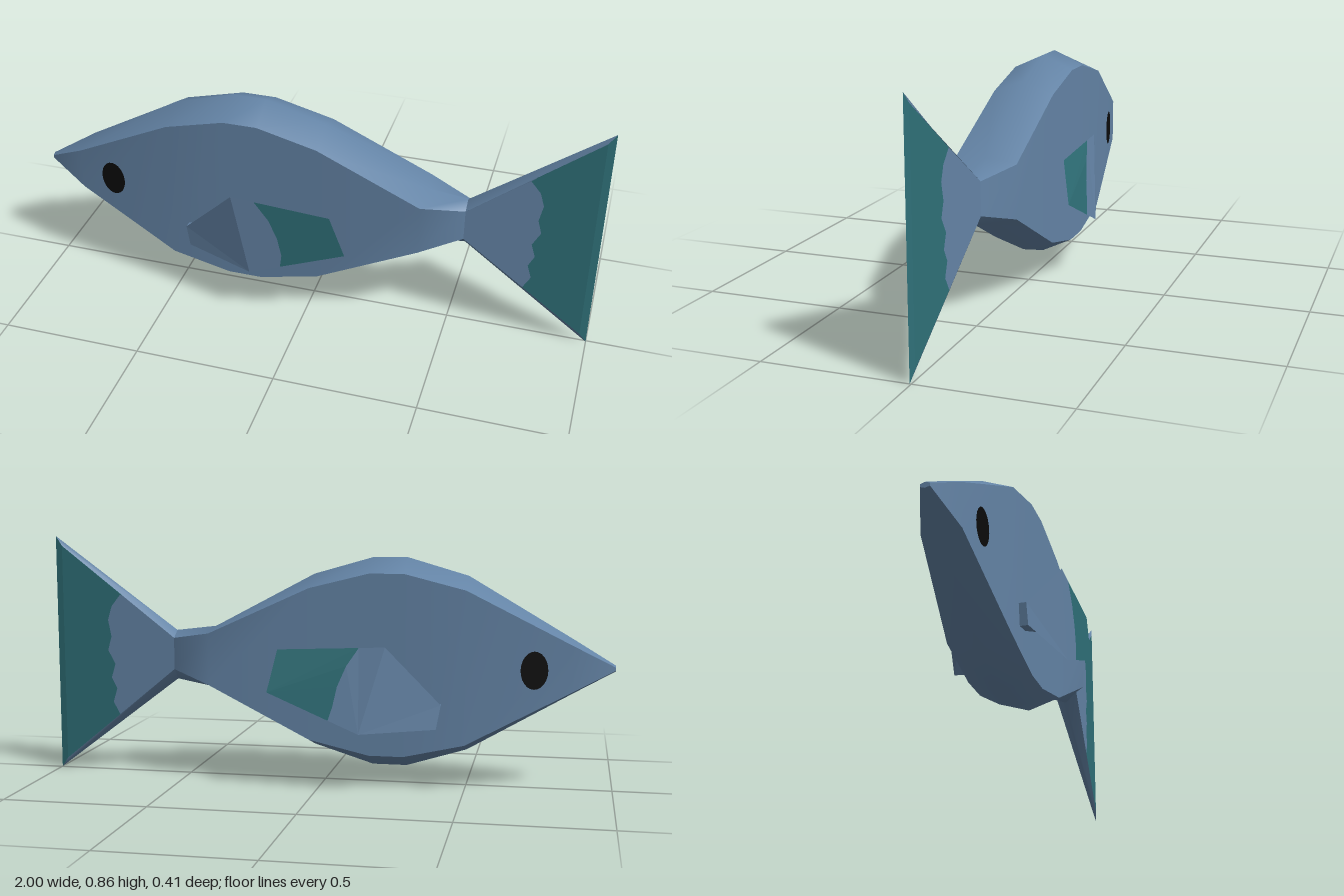
import * as THREE from 'three';

const blue = new THREE.MeshStandardMaterial({ name: 'slateBlue', color: 0x6484a6, side: THREE.DoubleSide });
const teal = new THREE.MeshStandardMaterial({ name: 'deepTeal', color: 0x2f7078, side: THREE.DoubleSide });
const black = new THREE.MeshStandardMaterial({ name: 'eyeBlack', color: 0x0b0b0b, side: THREE.DoubleSide });

const MID = 0.005; // z of the body's centre plane

function mesh(name, geometry, material) {
  const m = new THREE.Mesh(geometry, material);
  m.name = name;
  return m;
}

// Smooth strip of quads running along x; separate strips meet in sharp edges
function strip(rows) {
  const n = rows[0].length, index = [];
  for (let i = 0; i < rows.length - 1; i++) {
    for (let j = 0; j < n - 1; j++) {
      const a = i * n + j, b = a + n;
      index.push(a, b, b + 1, a, b + 1, a + 1);
    }
  }
  const g = new THREE.BufferGeometry();
  g.setAttribute('position', new THREE.Float32BufferAttribute(rows.flat(2), 3));
  g.setIndex(index);
  g.computeVertexNormals();
  return g;
}

// Flat-faced surface from a list of polygons
function facets(polygons) {
  const p = [];
  for (const poly of polygons) {
    for (let i = 1; i < poly.length - 1; i++) p.push(...poly[0], ...poly[i], ...poly[i + 1]);
  }
  const g = new THREE.BufferGeometry();
  g.setAttribute('position', new THREE.Float32BufferAttribute(p, 3));
  g.computeVertexNormals();
  return g;
}

// Six-sided ring: top ridge, upper edge, lower edge, bottom ridge, half width
const ring = ([x, ridge, upper, lower, keel, w]) => [
  [x, lower, MID + w], [x, upper, MID + w], [x, ridge, MID],
  [x, upper, MID - w], [x, lower, MID - w], [x, keel, MID],
];

// Flat outline bent to follow a slanted side
function sidePlate(outline, zAt, side) {
  const g = new THREE.ShapeGeometry(new THREE.Shape(outline.map(([x, y]) => new THREE.Vector2(x, y))));
  const p = g.attributes.position;
  for (let i = 0; i < p.count; i++) p.setZ(i, MID + side * zAt(p.getX(i)));
  g.computeVertexNormals();
  return g;
}

function makeBody() {
  const group = new THREE.Group();
  group.name = 'body';
  const rings = [
    [-1, 0.44, 0.435, 0.425, 0.42, 0.015],
    [-0.86, 0.525, 0.51, 0.355, 0.34, 0.065],
    [-0.5, 0.737, 0.695, 0.165, 0.13, 0.107],
    [-0.29, 0.798, 0.748, 0.117, 0.065, 0.108],
    [-0.17, 0.798, 0.748, 0.117, 0.065, 0.108],
    [0.04, 0.737, 0.695, 0.165, 0.13, 0.108],
    [0.4, 0.545, 0.53, 0.347, 0.337, 0.108],
    [0.545, 0.527, 0.503, 0.39, 0.35, 0.042],
  ].map(ring);
  const parts = { leftFlank: [0, 1], back: [1, 2, 3], rightFlank: [3, 4], belly: [4, 5, 0] };
  for (const [name, columns] of Object.entries(parts)) {
    group.add(mesh(name, strip(rings.map(r => columns.map(c => r[c]))), blue));
  }
  group.add(mesh('nose', facets([rings[0]]), blue));
  return group;
}

function makeTail() {
  const group = new THREE.Group();
  group.name = 'tail';
  const root = ring([0.545, 0.527, 0.503, 0.39, 0.35, 0.042]);
  const end = ring([0.975, 0.825, 0.825, 0.04, 0.04, 0.007]);
  end[2] = [1, 0.86, MID];
  end[5] = [1, 0.005, MID];
  group.add(mesh('tailTopRim', strip([root, end].map(r => [r[1], r[2], r[3]])), blue));
  group.add(mesh('tailBottomRim', strip([root, end].map(r => [r[4], r[5], r[0]])), blue));
  group.add(mesh('tailTrailingEdge', facets([
    [end[0], end[5], end[2], end[1]], [end[3], end[2], end[5], end[4]],
  ]), teal));

  // Wavy colour border, from the top edge down
  const wave = [[0.75, 0.654], [0.785, 0.61], [0.80, 0.56], [0.788, 0.5], [0.802, 0.45],
    [0.775, 0.4], [0.79, 0.35], [0.77, 0.31], [0.785, 0.26], [0.76, 0.215]];
  const zAt = x => THREE.MathUtils.mapLinear(x, 0.545, 0.975, 0.042, 0.007);
  for (const side of [1, -1]) {
    group.add(mesh('tailPanel', sidePlate([[0.545, 0.39], [0.545, 0.503], ...wave], zAt, side), blue));
    group.add(mesh('tailBand', sidePlate([...wave, [0.975, 0.04], [0.975, 0.825]], zAt, side), teal));
  }
  return group;
}

// Wedge-shaped side fin on a short root, given by its outer corners and root
function makeFin(name, { frontTop, frontLow, top, low, tipTop, tipLow, innerTop, innerLow, bodyZ }) {
  const group = new THREE.Group();
  group.name = name;
  const mix = (a, b, t) => a.map((v, i) => v + (b[i] - v) * t);
  const plane = new THREE.Plane().setFromCoplanarPoints(
    new THREE.Vector3(...top), new THREE.Vector3(...low), new THREE.Vector3(...tipLow));
  const onFin = ([x, y]) => [x, y, -(plane.constant + plane.normal.x * x + plane.normal.y * y) / plane.normal.z];

  // Curved colour border on the outer face and its match on the inner face
  const p = mix(top, tipTop, 0.24), q = mix(low, tipLow, 0.33);
  const curve = [[-0.105, 0.44], [-0.075, 0.37], [-0.06, 0.3]].map(onFin);
  const border = [p, ...curve, q];
  const u = mix(innerTop, tipTop, 0.55), v = mix(innerLow, tipLow, 0.56);
  const toBody = ([x, y], dx) => [x + dx, y, bodyZ];
  const a = toBody(frontTop, 0), b = toBody(frontLow, 0);
  const c = toBody(innerLow, -0.02), d = toBody(innerTop, -0.02);

  group.add(mesh('finBase', facets([
    [frontTop, frontLow, low, top],
    [low, ...[...border].reverse(), top],
    [top, p, u, innerTop], [innerTop, u, v, innerLow], [innerLow, v, q, low],
    [frontTop, top, innerTop], [frontLow, innerLow, low],
  ]), blue));
  group.add(mesh('finTip', facets([
    [tipLow, tipTop, ...border],
    [p, tipTop, u], [u, tipTop, tipLow, v], [v, tipLow, q],
  ]), teal));
  group.add(mesh('finRoot', facets([
    [a, b, frontLow, frontTop], [b, c, innerLow, frontLow],
    [c, d, innerTop, innerLow], [d, a, frontTop, innerTop],
  ]), blue));
  return group;
}

function makeEye(side) {
  const g = new THREE.CircleGeometry(1, 24);
  g.scale(0.046, 0.065, 1);
  g.translate(-0.73, 0.427, 0);
  const p = g.attributes.position;
  for (let i = 0; i < p.count; i++) {
    const z = THREE.MathUtils.mapLinear(p.getX(i), -0.86, -0.5, 0.065, 0.107) + 0.003;
    p.setZ(i, MID + side * z);
  }
  g.computeVertexNormals();
  return mesh(side > 0 ? 'leftEye' : 'rightEye', g, black);
}

export function createModel() {
  const model = new THREE.Group();
  model.name = 'fish';
  model.add(makeBody(), makeTail(), makeEye(1), makeEye(-1));
  model.add(makeFin('leftFin', {
    frontTop: [-0.437, 0.305, 0.137], frontLow: [-0.425, 0.23, 0.14],
    top: [-0.24, 0.513, 0.203], low: [-0.18, 0.205, 0.203],
    tipTop: [0.11, 0.49, 0.2], tipLow: [0.165, 0.345, 0.2],
    innerTop: [-0.36, 0.315, 0.145], innerLow: [-0.345, 0.24, 0.145], bodyZ: 0.11,
  }));
  // The right fin leans inward at the top
  model.add(makeFin('rightFin', {
    frontTop: [-0.42, 0.305, -0.118], frontLow: [-0.405, 0.222, -0.128],
    top: [-0.235, 0.505, -0.168], low: [-0.15, 0.21, -0.203],
    tipTop: [0.135, 0.49, -0.174], tipLow: [0.167, 0.345, -0.203],
    innerTop: [-0.35, 0.31, -0.115], innerLow: [-0.34, 0.235, -0.122], bodyZ: -0.1,
  }));
  return model;
}
